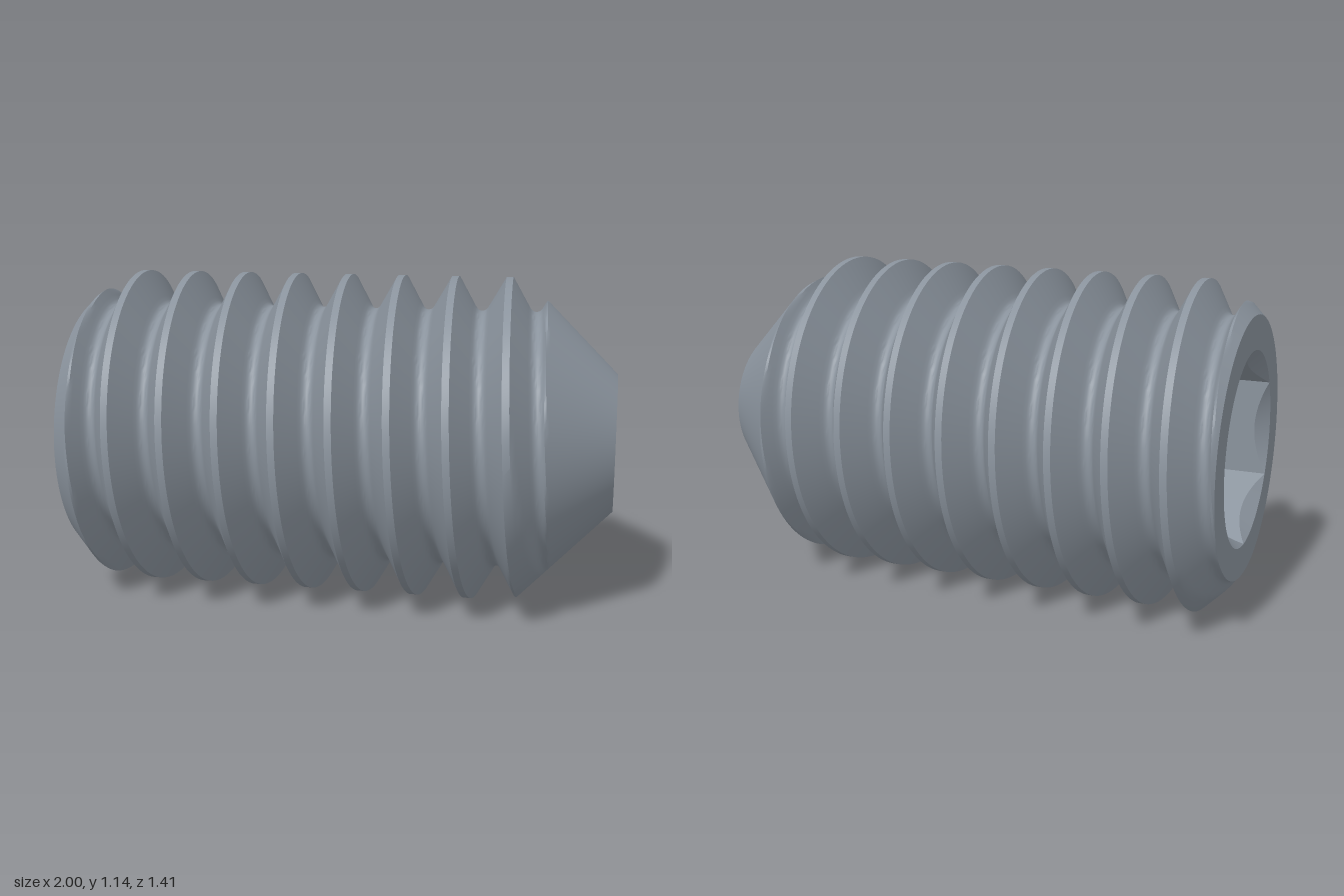
import * as THREE from 'three';
import { toCreasedNormals } from 'three/addons/utils/BufferGeometryUtils.js';

const SEG = 120;            // steps around the axis, a multiple of six
const END = 0.946;          // half length along the axis
const PITCH = 0.19, CREST = 0.57, ROOT = 0.45, CREST_HALF = 0.012;
const THREAD_START = -0.765;
const FACE_R = 0.46, TIP_R = 0.24;
const RIM_R = 0.34, HEX_APOTHEM = 0.295, SOCKET_DEPTH = 0.8, CUP_DEPTH = 0.135;

// Radius of the 60 degree thread at a distance u from the crest centre
function threadRadius(u) {
  const fromRoot = PITCH / 2 - Math.abs(u), fillet = 0.024;
  if (fromRoot < fillet * Math.cos(Math.PI / 6)) {
    return ROOT + fillet - Math.sqrt(fillet * fillet - fromRoot * fromRoot);
  }
  return CREST - Math.max(0, Math.abs(u) - CREST_HALF) * Math.sqrt(3);
}

// Sample distances across one thread turn
function turnSamples() {
  const half = [];
  for (let i = 0; i <= 8; i++) half.push(CREST_HALF + (0.074 - CREST_HALF) * i / 8);
  half.push(0.081, 0.088);
  return [-PITCH / 2, ...half.map((u) => -u).reverse(), ...half];
}

// Surface swept around the x axis; path(a) lists [axial, radius] pairs
function sweep(name, path, material, crease = 0.5) {
  const columns = [];
  for (let j = 0; j <= SEG; j++) {
    const a = (j / SEG) * Math.PI * 2;
    const c = Math.cos(a % (Math.PI * 2)), s = j === SEG ? 0 : Math.sin(a);
    columns.push(path(a).map(([x, r]) => new THREE.Vector3(x, r * c, r * s)));
  }
  const positions = [];
  const add = (p, q, r) => {
    const area = q.clone().sub(p).cross(r.clone().sub(p)).length();
    if (area > 1e-9) for (const v of [p, q, r]) positions.push(v.x, v.y, v.z);
  };
  for (let j = 0; j < SEG; j++) {
    const A = columns[j], B = columns[j + 1];
    for (let i = 0; i < A.length - 1; i++) {
      add(A[i], B[i], A[i + 1]);
      add(B[i], B[i + 1], A[i + 1]);
    }
  }
  const geometry = new THREE.BufferGeometry();
  geometry.setAttribute('position', new THREE.Float32BufferAttribute(positions, 3));
  const mesh = new THREE.Mesh(toCreasedNormals(geometry, crease), material);
  mesh.name = name;
  return mesh;
}

export function createModel() {
  const steel = new THREE.MeshStandardMaterial({ color: 0x8a939d });
  steel.name = 'steel';

  const samples = turnSamples();

  // Helical thread trimmed by the end chamfer and the tip cone
  const threadPath = (a) => {
    const points = [];
    for (let n = -3; n <= 10; n++) {
      for (const u of samples) {
        const raw = THREAD_START + PITCH * (a / (Math.PI * 2) + n) + u;
        const x = THREE.MathUtils.clamp(raw, -END, END);
        let du = u + x - raw;
        du -= PITCH * Math.round(du / PITCH);
        points.push([x, Math.min(threadRadius(du), FACE_R + x + END, TIP_R + END - x)]);
      }
    }
    return points;
  };

  // Hexagon radius by angle, corners up and down
  const hexRadius = (a) => {
    const sixth = Math.PI / 3;
    const local = a - Math.floor(a / sixth + 1e-9) * sixth;
    return HEX_APOTHEM / Math.cos(local - sixth / 2);
  };

  const group = new THREE.Group();
  group.name = 'setScrew';
  const screw = new THREE.Group();
  screw.name = 'screwBody';
  screw.add(
    sweep('threadedShank', threadPath, steel),
    // Flat ring around the socket
    sweep('driveEndFace', (a) => [[-END, RIM_R], threadPath(a)[0]], steel),
    // Conical countersink running into the six flats
    sweep('socketCountersink', (a) => {
      const r = hexRadius(a);
      return [[-END + RIM_R - r + 0.001, r], [-END, RIM_R]];
    }, steel),
    sweep('hexSocket', (a) => {
      const r = hexRadius(a);
      return [[-END + SOCKET_DEPTH, 0], [-END + SOCKET_DEPTH, r], [-END + RIM_R - r + 0.001, r]];
    }, steel),
    // Hollow cone in the tip
    sweep('cupPoint', () => [
      [END, TIP_R], [END - CUP_DEPTH / 2, TIP_R / 2],
      [END - CUP_DEPTH * 0.95, TIP_R * 0.05], [END - CUP_DEPTH, 0],
    ], steel),
  );
  screw.rotation.y = -THREE.MathUtils.degToRad(12);
  screw.position.set(0.025, CREST, 0.0175);
  group.add(screw);
  return group;
}
